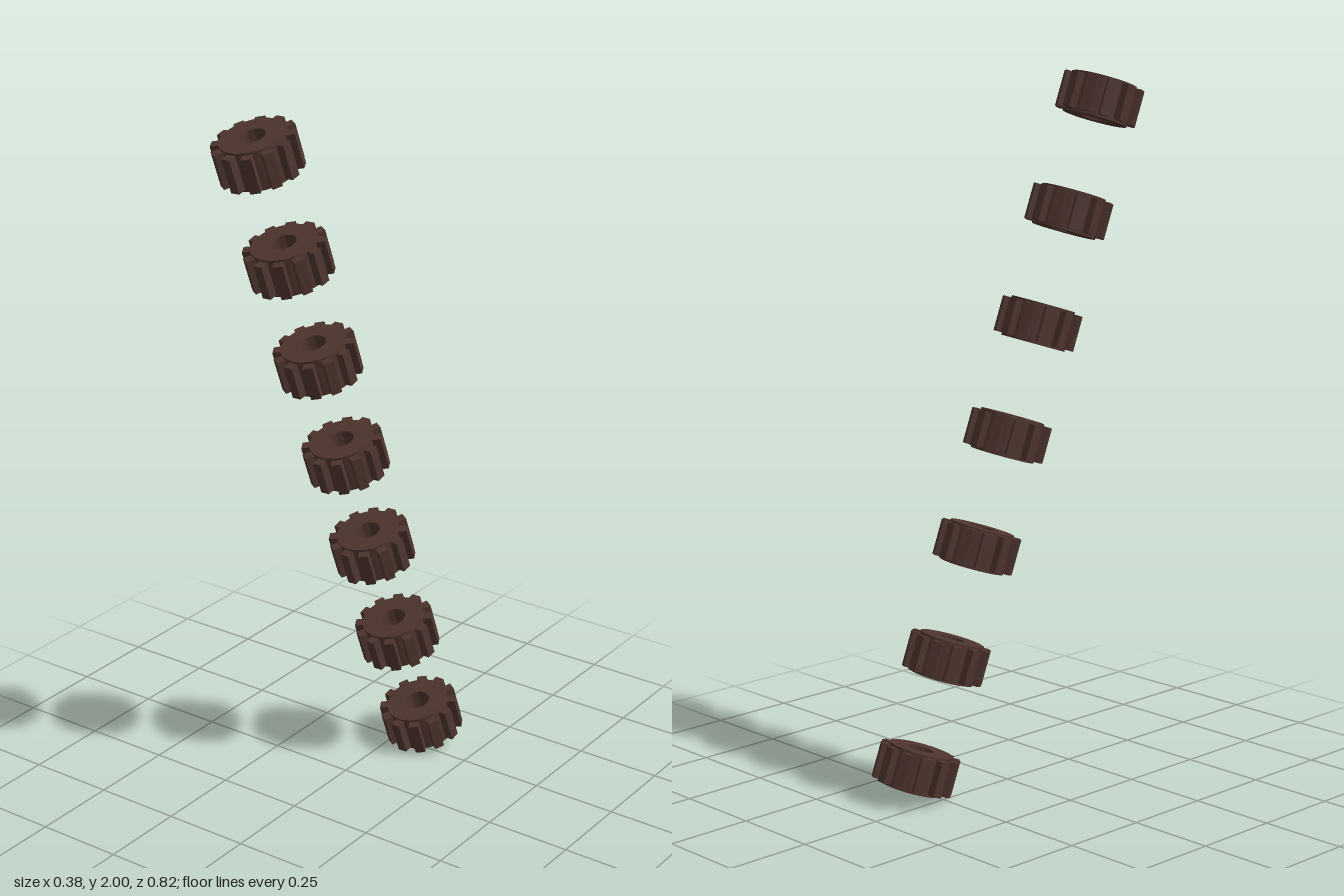
import * as THREE from 'three';
import { toCreasedNormals } from 'three/addons/utils/BufferGeometryUtils.js';

const GEARS = 7, TEETH = 12;
const BODY_R = 0.0905, HOLE_R = 0.036, TIP_R = 0.114;
const BODY_H = 0.113, TOOTH_H = 0.1, TOOTH_W = 0.028;

// Ring with a bore, lying flat with its axis on y
function ringGeometry() {
  const shape = new THREE.Shape().absarc(0, 0, BODY_R, 0, Math.PI * 2);
  shape.holes.push(new THREE.Path().absarc(0, 0, HOLE_R, 0, Math.PI * 2, true));
  const geo = new THREE.ExtrudeGeometry(shape, { depth: BODY_H, bevelEnabled: false, curveSegments: 32 });
  geo.translate(0, 0, -BODY_H / 2).rotateX(-Math.PI / 2);
  return toCreasedNormals(geo, 0.6);
}

export function createModel() {
  const model = new THREE.Group();
  model.name = 'gearStack';
  const material = new THREE.MeshStandardMaterial({ color: 0x4e342e });

  const ring = ringGeometry();
  const inner = BODY_R - 0.012;
  const tooth = new THREE.BoxGeometry(TOOTH_W, TOOTH_H, TIP_R - inner);
  tooth.translate(0, 0, (TIP_R + inner) / 2);

  // The gears share one leaning axle line, evenly spaced
  const top = new THREE.Vector3(-0.0715, 0.917, 0.286);
  const tilt = new THREE.Quaternion().setFromUnitVectors(
    new THREE.Vector3(0, 1, 0), top.clone().normalize());

  for (let i = 0; i < GEARS; i++) {
    const gear = new THREE.Group();
    gear.name = 'gear' + (i + 1);
    const body = new THREE.Mesh(ring, material);
    body.name = 'gearBody';
    gear.add(body);

    // Block teeth around the rim
    for (let k = 0; k < TEETH; k++) {
      const block = new THREE.Mesh(tooth, material);
      block.name = 'tooth';
      block.rotation.y = (k / TEETH) * Math.PI * 2 - 0.065;
      gear.add(block);
    }

    gear.quaternion.copy(tilt);
    gear.position.copy(top).multiplyScalar(1 - (2 * i) / (GEARS - 1));
    gear.position.y += 1;
    model.add(gear);
  }
  return model;
}
